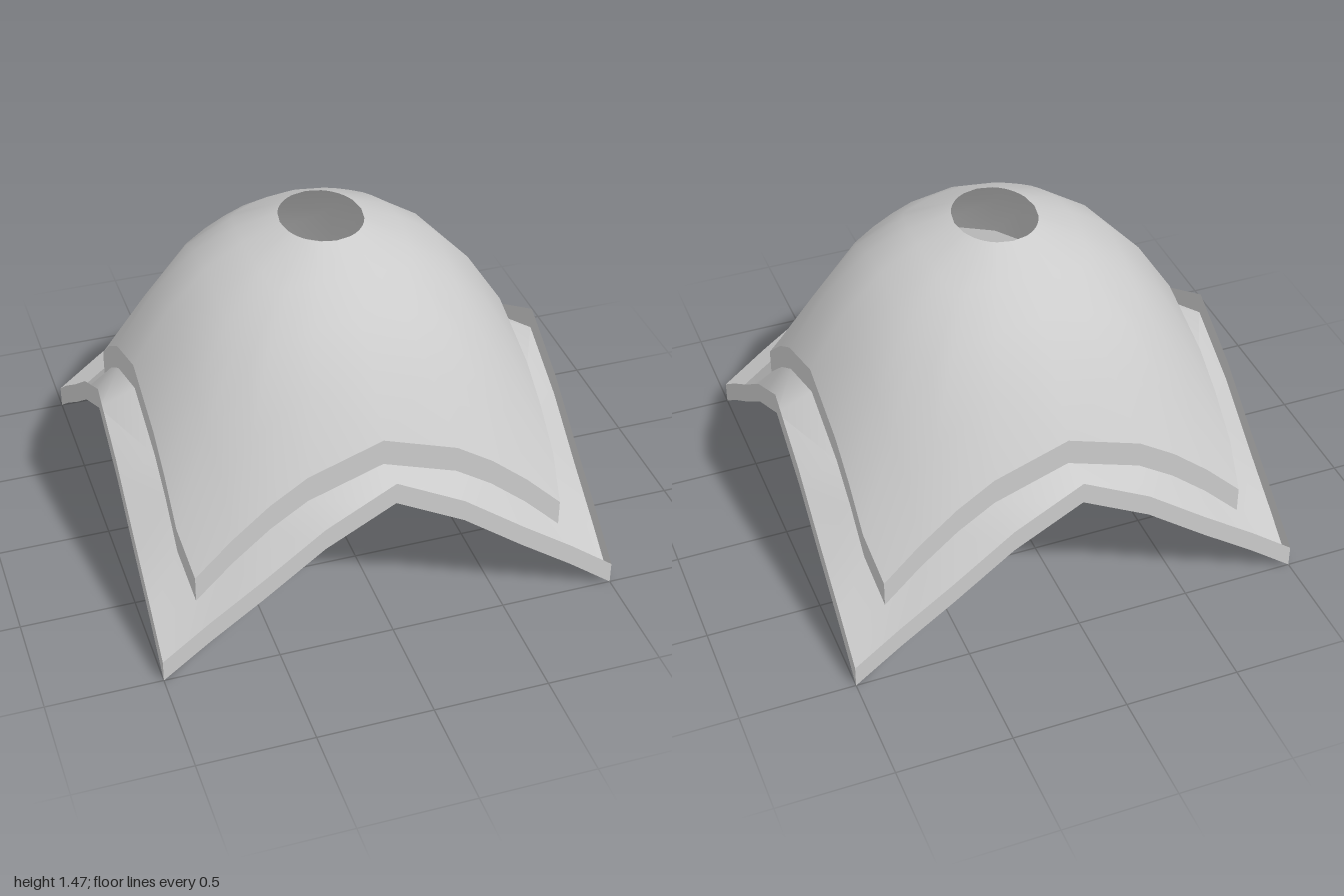
import * as THREE from 'three';
import { toCreasedNormals } from 'three/addons/utils/BufferGeometryUtils.js';

// stations along each side of the square plan, from -1 to 1 (the next side begins at 1)
const eaveStations = [-1, -0.8, -0.57, -0.3, 0, 0.3, 0.57, 0.8];
const rimStations = [-1, -0.8, -0.6, -0.4, 0, 0.4, 0.6, 0.8];
const PER_SIDE = rimStations.length;

// piecewise-linear lookup in a list of [input, value]
function lookup(table, x) {
  let i = 1;
  while (i < table.length - 1 && x > table[i][0]) i++;
  const [x0, y0] = table[i - 1], [x1, y1] = table[i];
  return y0 + (y1 - y0) * (x - x0) / (x1 - x0);
}

// dome height by distance from the axis, and eave height along each side
const domeProfile = [[0.18, 1.47], [0.21, 1.47], [0.33, 1.41], [0.5, 1.31], [0.67, 1.14], [0.84, 0.88], [0.9, 0.765], [0.98, 0.645], [1.16, 0.37]];
const eaveProfile = [[0, 0.69], [0.3, 0.525], [0.57, 0.32], [0.8, 0.155], [1, 0]];
const domeY = (x, z) => lookup(domeProfile, Math.hypot(x, z));

// closed ring around the plan: fn(side, s) gives a point for each station of each side
function ring(stations, fn) {
  return [0, 1, 2, 3].flatMap(side => stations.map(s => fn(side, s)));
}

// skin between consecutive rings, lowest/outermost first, diagonals mirrored at mid-side
function loft(name, rings, crease) {
  const n = rings[0].length, pos = [], idx = [];
  for (const r of rings) for (const p of r) pos.push(p.x, p.y, p.z);
  for (let j = 0; j < rings.length - 1; j++) {
    for (let i = 0; i < n; i++) {
      const a = j * n + i, b = j * n + (i + 1) % n, c = b + n, d = a + n;
      if (i % PER_SIDE < PER_SIDE / 2) idx.push(a, b, d, b, c, d);
      else idx.push(a, b, c, a, c, d);
    }
  }
  const geo = new THREE.BufferGeometry();
  geo.setAttribute('position', new THREE.Float32BufferAttribute(pos, 3));
  geo.setIndex(idx);
  const mat = new THREE.MeshStandardMaterial({ color: 0xcccccc, side: THREE.DoubleSide });
  const mesh = new THREE.Mesh(toCreasedNormals(geo, crease), mat);
  mesh.name = name;
  return mesh;
}

const raise = (r, dy) => r.map(p => new THREE.Vector3(p.x, p.y + dy, p.z));

export function createModel() {
  const group = new THREE.Group();
  group.name = 'domedCanopy';

  // square outer edge, peaked in the middle of every side
  const eave = ring(eaveStations, (side, s) => {
    const [x, z] = [[s, 1], [1, -s], [-s, -1], [-1, s]][side];
    return new THREE.Vector3(x, lookup(eaveProfile, Math.abs(s)), z);
  });

  // lower edge of the dome, its left and right sides pinched at the corners
  const rim = ring(rimStations, (side, s) => {
    const w = 0.84 - 0.03 * Math.max(0, (Math.abs(s) - 0.8) / 0.2);
    const [x, z] = [[0.81 * s, 0.835], [w, -0.835 * s], [-0.81 * s, -0.835], [-w, 0.835 * s]][side];
    return new THREE.Vector3(x, domeY(x, z), z);
  });

  // foot of the step below the dome
  const foot = raise(rim, -0.12);

  // dome skin, from the rim to an oval opening at the top
  const STEPS = 4;
  const domeRings = Array.from({ length: STEPS + 1 }, (_, j) => rim.map(p => {
    const a = Math.atan2(p.z, p.x), t = j / STEPS;
    const x = THREE.MathUtils.lerp(p.x, 0.18 * Math.cos(a), t);
    const z = THREE.MathUtils.lerp(p.z, 0.21 * Math.sin(a), t);
    return new THREE.Vector3(x, domeY(x, z), z);
  }));

  group.add(
    loft('dome', domeRings, 1),
    loft('domeStep', [foot, rim], 0.8),
    loft('brim', [eave, foot], 0.8),
    loft('brimUpstand', [eave, raise(eave, 0.1)], 0.8),
  );
  return group;
}
